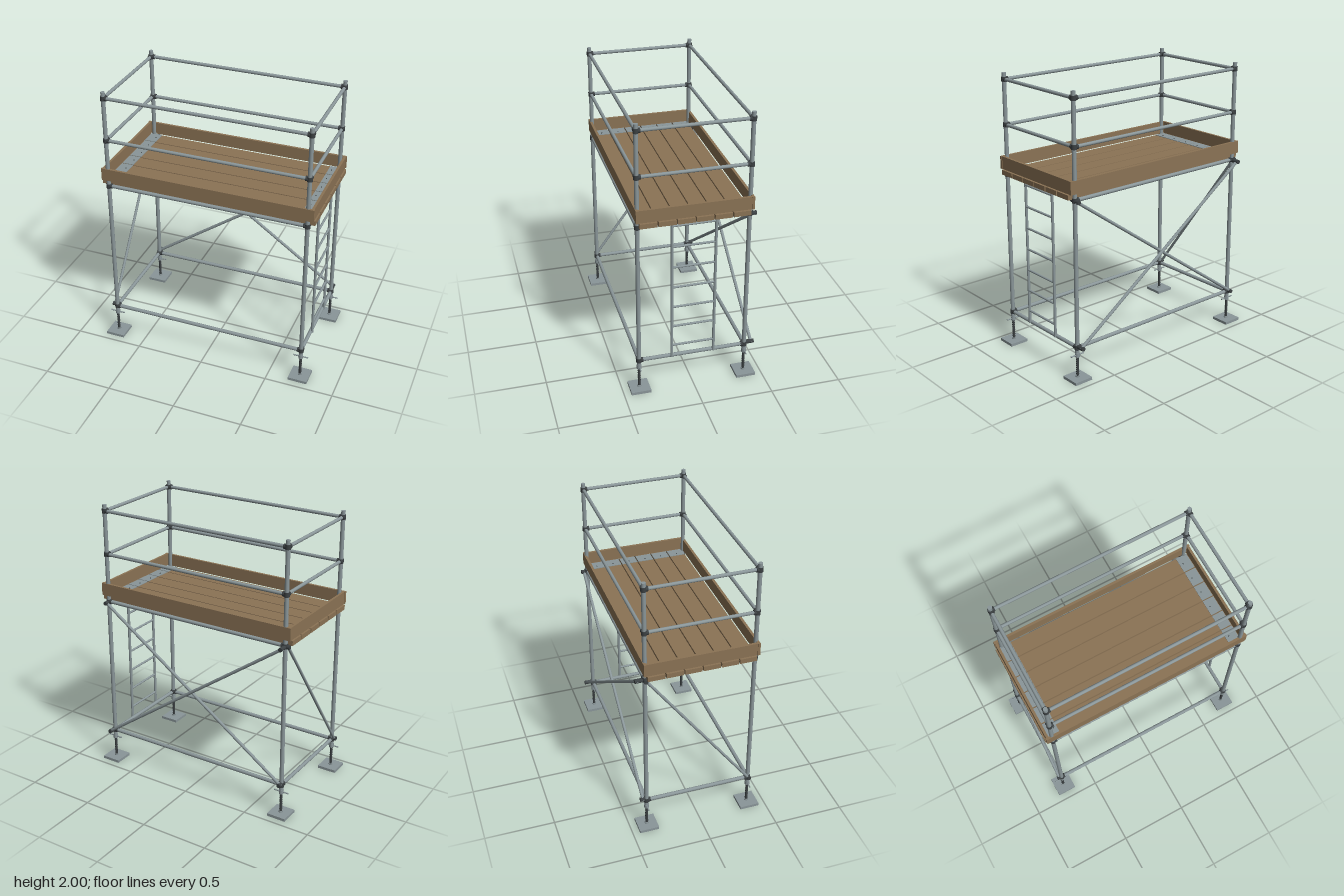
import * as THREE from 'three';

const mat = (color) => new THREE.MeshStandardMaterial({ color });
const steel = mat(0x8a9699), dark = mat(0x3c4143), wood = mat(0x8b7355);

const PX = 0.725, PZ = 0.38; // post positions
const LOW = 0.24, DECK = 1.285, MID = 1.64, TOP = 1.955; // rail heights

export function createModel() {
  const root = new THREE.Group();
  const group = (name) => {
    const g = new THREE.Group();
    g.name = name;
    root.add(g);
    return g;
  };
  const add = (parent, name, geo, material, x = 0, y = 0, z = 0) => {
    const m = new THREE.Mesh(geo, material);
    m.name = name;
    m.position.set(x, y, z);
    parent.add(m);
    return m;
  };
  const box = (parent, name, w, h, d, material, x, y, z) =>
    add(parent, name, new THREE.BoxGeometry(w, h, d), material, x, y, z);
  // Round tube between two points
  const pipe = (parent, name, a, b, r, material = steel) => {
    const p = new THREE.Vector3(...a), q = new THREE.Vector3(...b);
    const dir = q.clone().sub(p);
    const m = add(parent, name, new THREE.CylinderGeometry(r, r, dir.length(), 16), material);
    m.position.copy(p).add(q).multiplyScalar(0.5);
    m.quaternion.setFromUnitVectors(new THREE.Vector3(0, 1, 0), dir.normalize());
    return m;
  };

  // Threaded screw profile for the adjustable feet
  const thread = [new THREE.Vector2(0, 0.02)];
  for (let i = 0; i <= 28; i++) thread.push(new THREE.Vector2(i % 2 ? 0.011 : 0.008, 0.02 + i * 0.0075));
  thread.push(new THREE.Vector2(0, 0.23));
  const screwGeo = new THREE.LatheGeometry(thread, 12);

  // Corner posts with couplers, screw jacks and base plates
  for (const sx of [-1, 1]) for (const sz of [-1, 1]) {
    const x = sx * PX, z = sz * PZ;
    const post = group('post');
    pipe(post, 'postTube', [x, 0.2, z], [x, 2, z], 0.015);
    for (const y of [LOW, DECK, MID, TOP]) {
      pipe(post, 'coupler', [x, y - 0.016, z], [x, y + 0.016, z], 0.0195, dark);
      pipe(post, 'couplerSleeveX', [x, y, z], [x - sx * 0.027, y, z], 0.0175, dark);
      pipe(post, 'couplerSleeveZ', [x, y, z], [x, y, z - sz * 0.027], 0.0175, dark);
    }
    const foot = group('foot');
    box(foot, 'basePlate', 0.14, 0.02, 0.14, steel, x, 0.01, z);
    pipe(foot, 'baseSocket', [x, 0.02, z], [x, 0.03, z], 0.015);
    add(foot, 'screw', screwGeo, dark, x, 0, z);
    pipe(foot, 'nut', [x, 0.17, z], [x, 0.2, z], 0.017);
    pipe(foot, 'nutHandle', [x - 0.055, 0.184, z], [x + 0.055, 0.184, z], 0.005);
  }

  // Horizontal rails on all four sides
  const rails = group('rails');
  for (const y of [LOW, DECK, MID, TOP]) {
    const r = y > DECK ? 0.012 : 0.0135;
    for (const s of [-1, 1]) {
      pipe(rails, 'longRail', [-PX, y, s * PZ], [PX, y, s * PZ], r);
      pipe(rails, 'shortRail', [s * PX, y, -PZ], [s * PX, y, PZ], r);
    }
  }

  // Crossed braces behind the back side, with swivel clamps at the ends
  const braces = group('braces');
  for (const [s, z] of [[1, -0.406], [-1, -0.429]]) {
    pipe(braces, 'backBrace', [-s * 0.735, 0.245, z], [s * 0.735, 1.285, z], 0.011);
    for (const [x, y] of [[-s * PX, 0.25], [s * PX, 1.28]])
      pipe(braces, 'clamp', [x, y, -PZ], [x, y, z - 0.02], 0.015, dark);
  }
  // Single brace on the left-hand end
  pipe(braces, 'endBrace', [-0.745, 0.245, PZ], [-0.745, 1.285, -PZ], 0.01);
  for (const [y, z] of [[0.25, PZ], [1.28, -PZ]])
    pipe(braces, 'clamp', [-PX, y, z], [-0.76, y, z], 0.015, dark);

  // Deck planks with bolted end plates
  const deck = group('deck');
  for (let i = 0; i < 6; i++) {
    const z = (i - 2.5) * 0.126;
    box(deck, 'plank', 1.55, 0.034, 0.118, wood, 0, 1.31, z);
    for (const s of [-1, 1]) {
      box(deck, 'endPlate', 0.085, 0.004, 0.118, steel, s * 0.7025, 1.329, z);
      pipe(deck, 'bolt', [s * 0.685, 1.328, z], [s * 0.685, 1.335, z], 0.004, dark);
    }
  }

  // Toe boards around the deck
  const toe = group('toeBoards');
  for (const s of [-1, 1]) {
    box(toe, 'longToeBoard', 1.54, 0.09, 0.018, wood, 0, 1.376, s * 0.388);
    box(toe, 'endToeBoard', 0.018, 0.09, 0.758, wood, s * 0.757, 1.376, 0);
  }

  // Ladder on the right-hand end
  const ladder = group('ladder');
  for (const s of [-1, 1])
    pipe(ladder, 'stile', [0.736, 0.235, s * 0.15], [0.736, 1.285, s * 0.15], 0.01);
  for (let i = 0; i < 7; i++) {
    const y = 0.33 + i * 0.1558;
    pipe(ladder, 'rung', [0.736, y, -0.15], [0.736, y, 0.15], 0.008);
  }
  return root;
}
